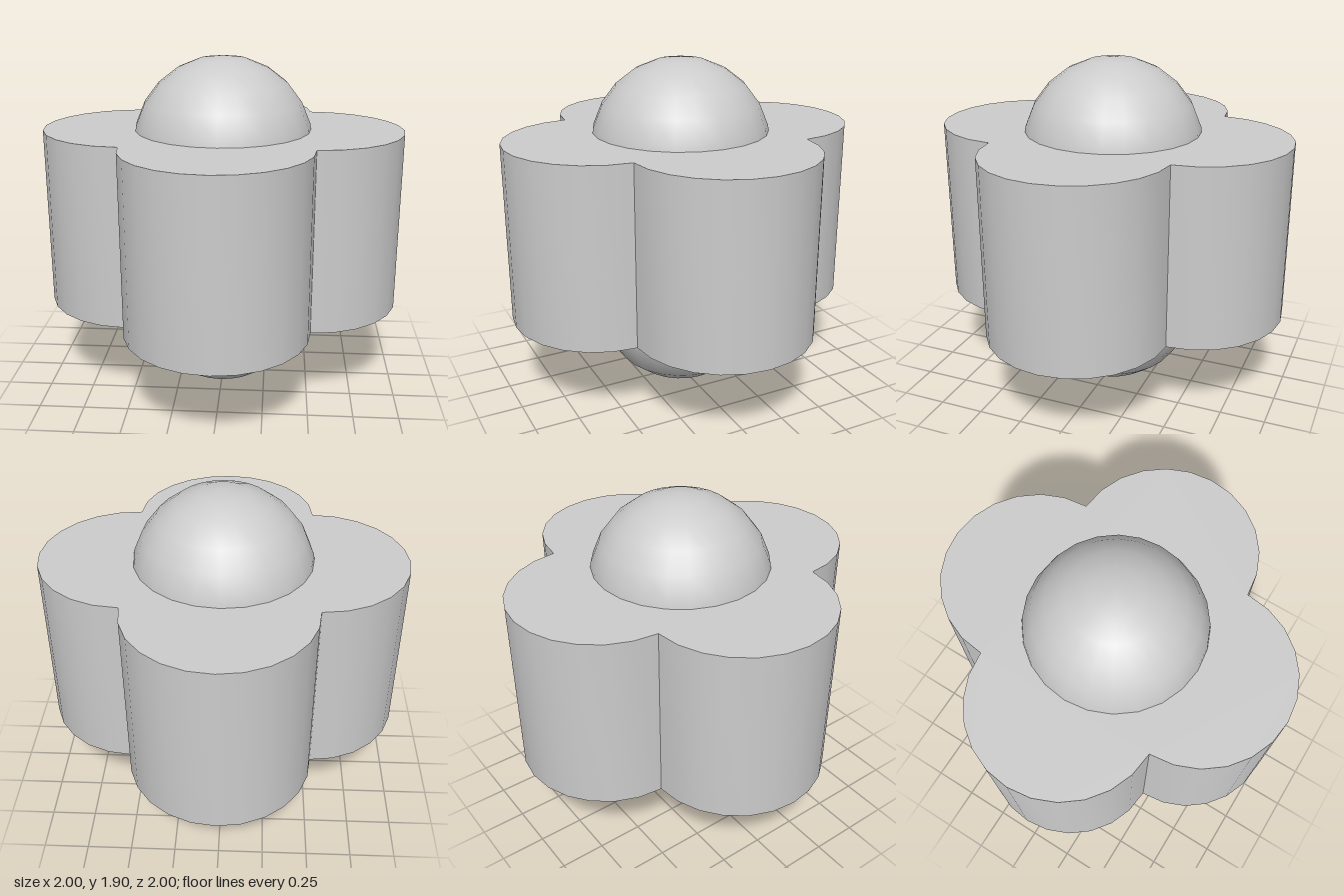
import * as THREE from 'three';
import { toCreasedNormals } from 'three/addons/utils/BufferGeometryUtils.js';

const RADIUS = 0.5;
const SIDES = 24;

export function createModel() {
  const group = new THREE.Group();
  const material = new THREE.MeshStandardMaterial({ color: 0xcccccc });

  const add = (name, geometry, y) => {
    const mesh = new THREE.Mesh(geometry, material);
    mesh.name = name;
    mesh.position.y = y;
    group.add(mesh);
  };

  // Four-lobed block: a half circle on each side of a square
  const outline = [];
  const half = SIDES / 2;
  for (let lobe = 0; lobe < 4; lobe++) {
    const turn = (lobe * Math.PI) / 2;
    const centre = new THREE.Vector2(Math.cos(turn), Math.sin(turn)).multiplyScalar(RADIUS);
    // the last point of each lobe is the first of the next
    for (let i = 0; i < half; i++) {
      const a = turn - Math.PI / 2 + (i / half) * Math.PI;
      outline.push(new THREE.Vector2(centre.x + RADIUS * Math.cos(a), centre.y + RADIUS * Math.sin(a)));
    }
  }
  const block = new THREE.ExtrudeGeometry(new THREE.Shape(outline), { depth: 1, bevelEnabled: false });
  block.rotateX(-Math.PI / 2);
  add('lobedBlock', toCreasedNormals(block, 0.5), 0.5);

  // Domes: the upper one sits slightly sunk into the block
  const dome = (start) =>
    new THREE.SphereGeometry(RADIUS, SIDES, SIDES / 4, 0, Math.PI * 2, start, Math.PI / 2);
  add('topDome', dome(0), 1.4);
  add('bottomDome', dome(Math.PI / 2), 0.5);

  return group;
}
